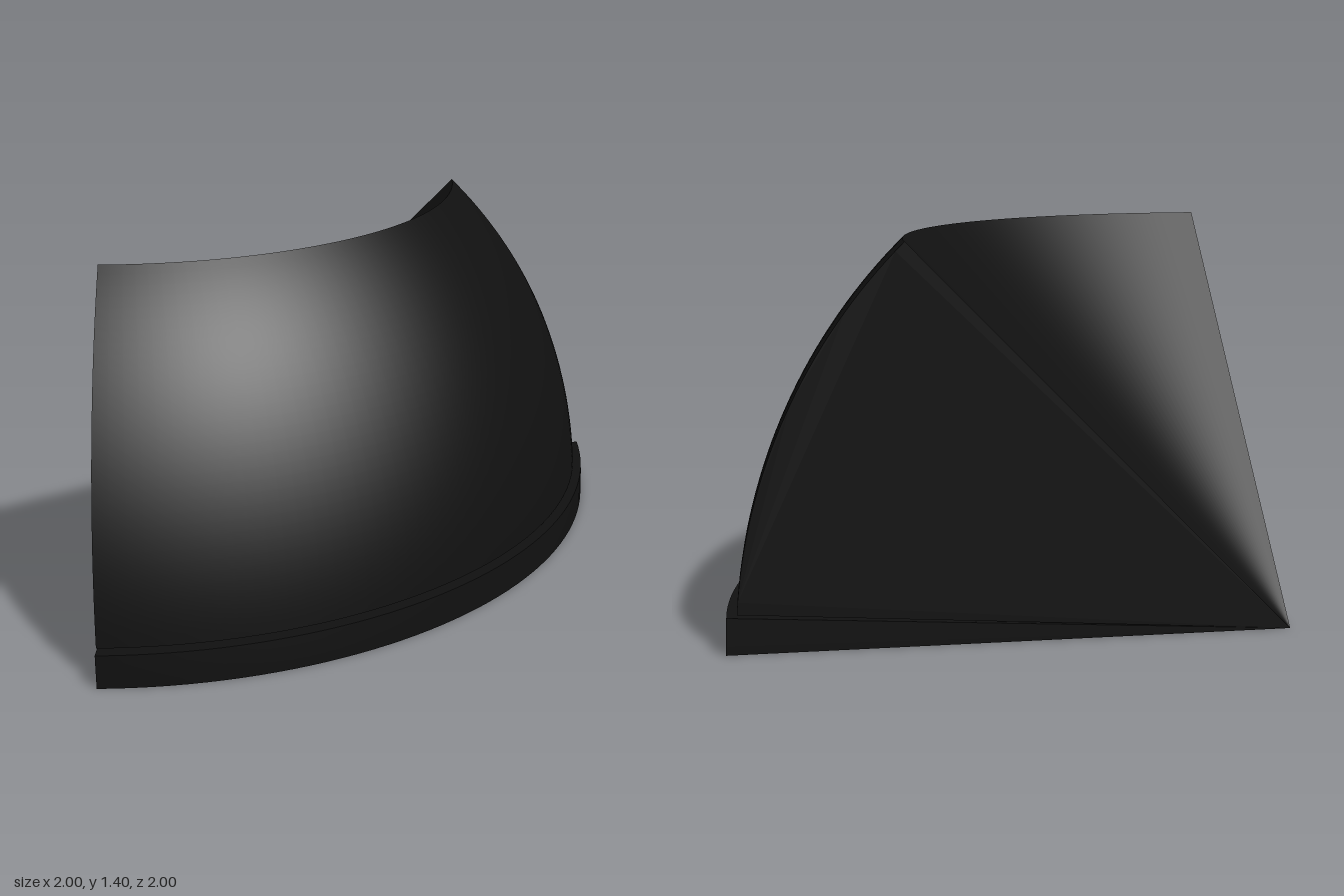
import * as THREE from 'three';

const SWEEP = Math.PI / 2;
const SEGMENTS = 48;

// Quarter-turn spherical wedge between two elevation angles, tapering to the centre
function wedge(name, radius, low, high, arcSteps, material, capMaterial) {
  const group = new THREE.Group();
  group.name = name;
  const centre = new THREE.Vector2(0, 0);
  const arc = [];
  for (let i = 0; i <= arcSteps; i++) {
    const a = low + (high - low) * i / arcSteps;
    arc.push(new THREE.Vector2(radius * Math.cos(a), radius * Math.sin(a)));
  }
  const add = (part, geometry, mat) => {
    const mesh = new THREE.Mesh(geometry, mat);
    mesh.name = name + part;
    group.add(mesh);
    return mesh;
  };
  const revolve = (part, points) =>
    add(part, new THREE.LatheGeometry(points, SEGMENTS, 0, SWEEP), material);

  // Underside, curved outside and conical hollow keep sharp edges between them
  revolve('Underside', [centre, arc[0]]);
  revolve('OuterShell', arc);
  revolve('InnerCone', [arc[arcSteps], centre]);

  // Flat cut faces on the two straight sides
  const face = new THREE.ShapeGeometry(new THREE.Shape([centre, ...arc]));
  add('BackFace', face, capMaterial);
  add('SideFace', face, capMaterial).rotation.y = -Math.PI / 2;
  return group;
}

export function createModel() {
  const model = new THREE.Group();
  model.name = 'domeSector';
  const material = new THREE.MeshStandardMaterial({ color: 0x101010 });
  const capMaterial = new THREE.MeshStandardMaterial({ color: 0x101010, side: THREE.DoubleSide });

  // Base band, then the dome above a narrow tapered gap
  model.add(wedge('baseBand', 2, 0, 0.066, 4, material, capMaterial));
  model.add(wedge('dome', 1.965, 0.0722, 0.793, 32, material, capMaterial));

  // Shift the wedge's centre to the back corner
  model.children.forEach((part) => part.position.set(-1, 0, -1));
  return model;
}
